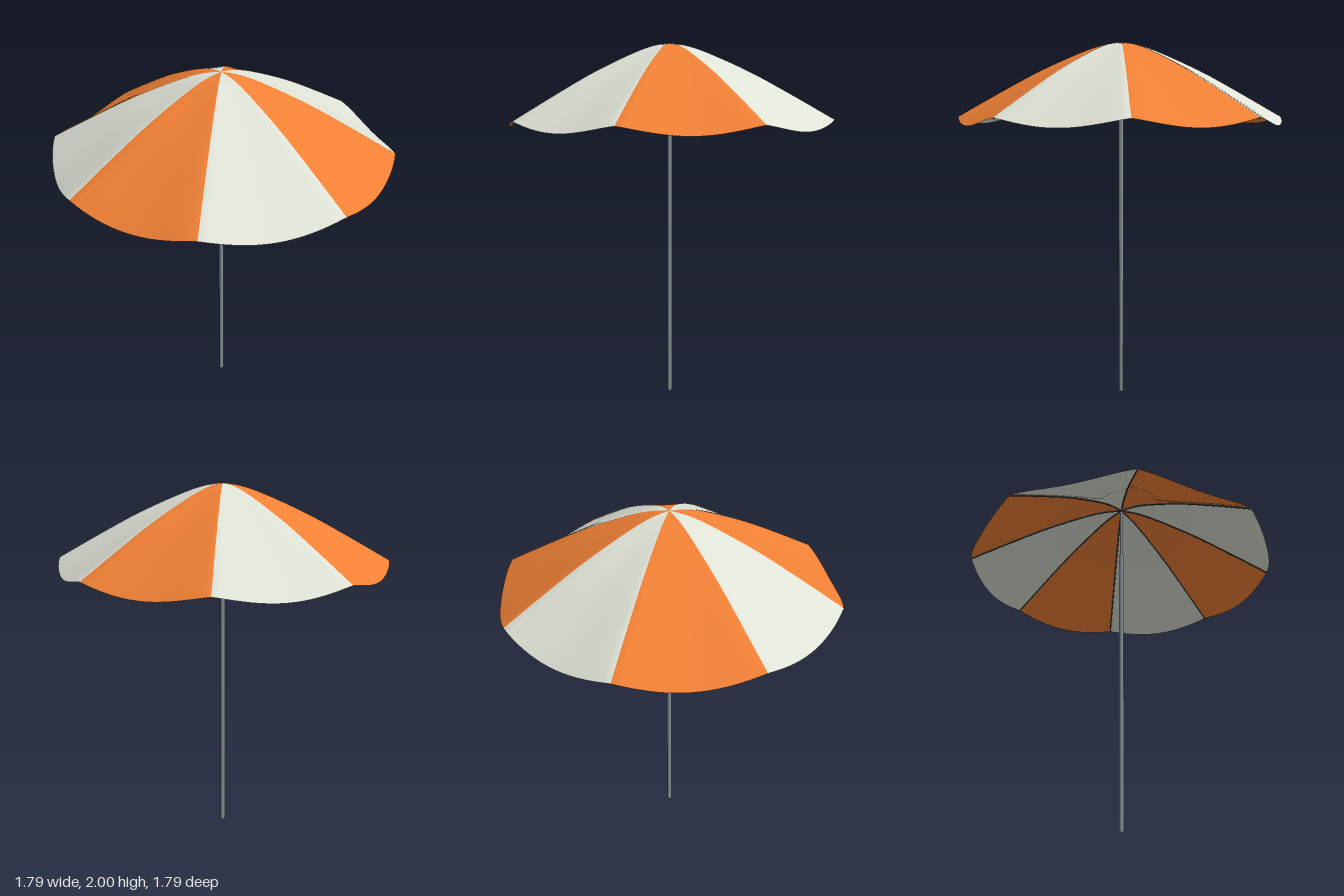
import * as THREE from 'three';

const PANELS = 8, SEG = 16, ROWS = 24;
const STEP = (Math.PI * 2) / PANELS;
const RADIUS = 0.893;

// Rib profile from the apex to the tip, as (radius, height)
const profile = new THREE.SplineCurve([
  [0, 2], [0.1, 1.985], [0.23, 1.94], [0.45, 1.842], [0.67, 1.725], [RADIUS, 1.6],
].map(([x, y]) => new THREE.Vector2(x, y)));

// Canopy point: t runs from apex to hem, u counts panels around
function canopyPoint(t, u) {
  const p = profile.getPoint(t);
  const sag = Math.pow(Math.abs(Math.sin(u * Math.PI)), 1.1);
  const r = p.x * (1 - 0.03 * sag);
  const y = p.y - 0.045 * sag * t * t;
  return new THREE.Vector3(r * Math.cos(u * STEP), y, r * Math.sin(u * STEP));
}

// One cloth panel; an extra strip on each side keeps the normals smooth over the ribs
function panelGeometry(k) {
  const positions = [], full = [], inner = [];
  const cols = SEG + 3;
  for (let i = 0; i <= ROWS; i++) {
    for (let j = 0; j < cols; j++) {
      positions.push(...canopyPoint(i / ROWS, k + (j - 1) / SEG).toArray());
      if (i === ROWS || j === cols - 1) continue;
      const a = i * cols + j, b = a + cols;
      const quad = [a, a + 1, b, a + 1, b + 1, b];
      full.push(...quad);
      if (j > 0 && j <= SEG) inner.push(...quad);
    }
  }
  const geo = new THREE.BufferGeometry();
  geo.setAttribute('position', new THREE.Float32BufferAttribute(positions, 3));
  geo.setIndex(full);
  geo.computeVertexNormals();
  geo.setIndex(inner);
  return geo;
}

export function createModel() {
  const model = new THREE.Group();
  model.name = 'parasol';
  const cream = new THREE.MeshStandardMaterial({ color: 0xdfe2d6, side: THREE.DoubleSide });
  const orange = new THREE.MeshStandardMaterial({ color: 0xf08035, side: THREE.DoubleSide });
  const metal = new THREE.MeshStandardMaterial({ color: 0x8a9398 });
  const dark = new THREE.MeshStandardMaterial({ color: 0x4a4d50 });

  const add = (parent, name, geo, mat) => {
    const mesh = new THREE.Mesh(geo, mat);
    mesh.name = name;
    parent.add(mesh);
    return mesh;
  };

  // Canopy of alternating panels
  const canopy = new THREE.Group();
  canopy.name = 'canopy';
  model.add(canopy);
  for (let k = 0; k < PANELS; k++) {
    add(canopy, 'canopyPanel', panelGeometry(k), k % 2 ? orange : cream);
  }

  // Thin ribs just under the seams
  const ribs = new THREE.Group();
  ribs.name = 'ribs';
  model.add(ribs);
  const ribPath = new THREE.CatmullRomCurve3(
    Array.from({ length: 13 }, (_, i) => {
      const p = canopyPoint(i / 12, 0);
      return new THREE.Vector3(p.x, p.y - 0.007, 0);
    }),
  );
  const ribGeo = new THREE.TubeGeometry(ribPath, 32, 0.004, 6);
  for (let k = 0; k < PANELS; k++) {
    add(ribs, 'rib', ribGeo, dark).rotation.y = -k * STEP;
  }

  // Pole: wide lower tube with a rounded foot, narrower upper tube
  const pole = [[0, 0], [0.008, 0.001], [0.012, 0.006], [0.013, 0.014], [0.013, 1.665],
    [0.012, 1.67], [0.009, 1.67], [0.009, 1.985], [0, 1.985]];
  add(model, 'pole', new THREE.LatheGeometry(pole.map(([x, y]) => new THREE.Vector2(x, y)), 20), metal);

  return model;
}
